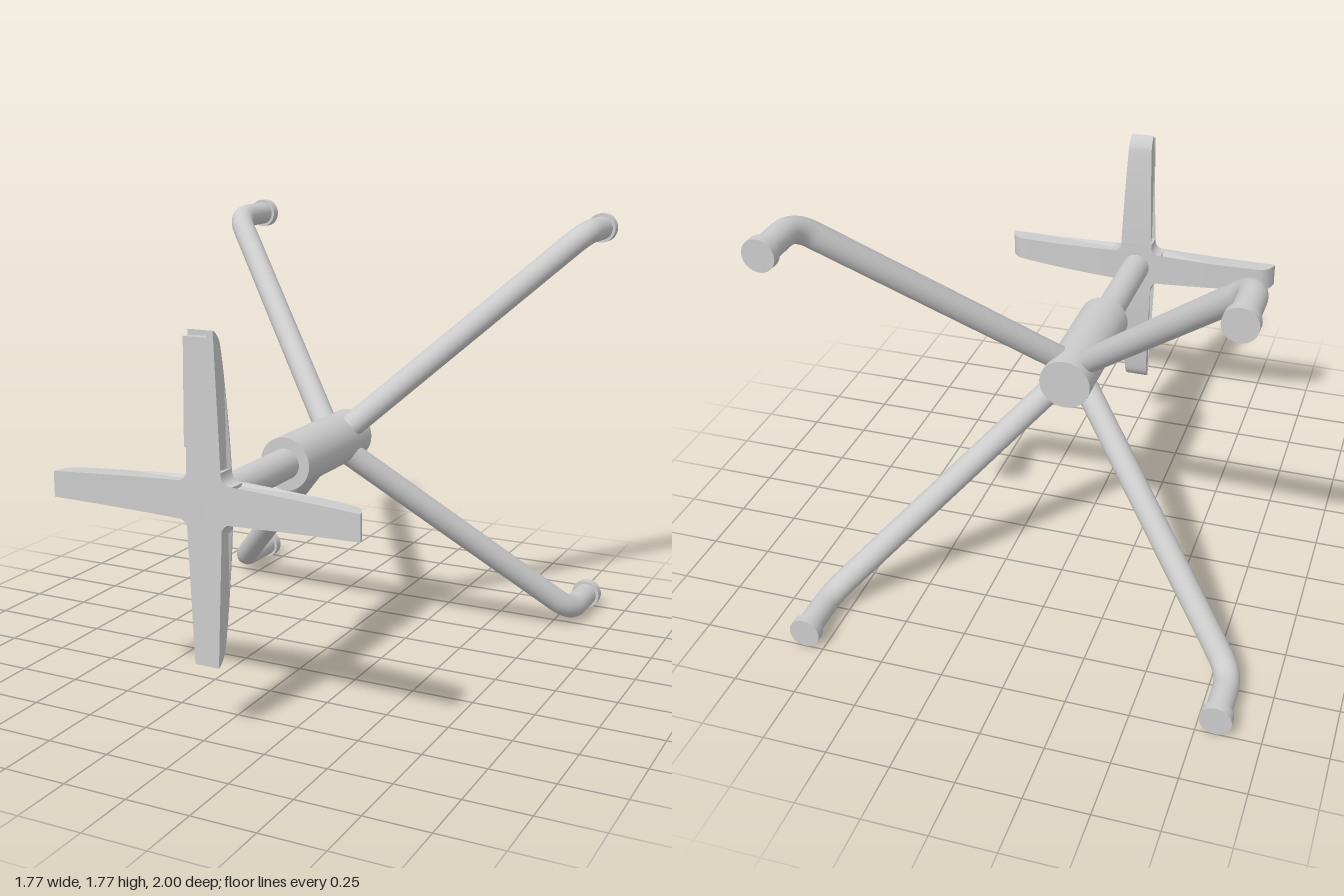
import * as THREE from 'three';
import { toCreasedNormals } from 'three/addons/utils/BufferGeometryUtils.js';

const CY = 0.887; // height of the central axis
const FOOT = 0.825; // sideways and vertical offset of the feet

export function createModel() {
  const model = new THREE.Group();
  const mat = new THREE.MeshStandardMaterial({ color: 0xcccccc });

  const add = (name, geometry, x = 0, y = CY, z = 0) => {
    const mesh = new THREE.Mesh(geometry, mat);
    mesh.name = name;
    mesh.position.set(x, y, z);
    model.add(mesh);
    return mesh;
  };
  // Cylinder along z between two depths
  const rod = (name, r, z0, z1, x, y) =>
    add(name, new THREE.CylinderGeometry(r, r, z1 - z0, 40).rotateX(Math.PI / 2), x, y, (z0 + z1) / 2);

  rod('hub', 0.105, -0.2, 0.365);
  rod('post', 0.061, 0.36, 0.9);

  // Four bent legs, each ending in a round foot
  for (const sx of [1, -1]) for (const sy of [1, -1]) {
    const at = (d, z) => new THREE.Vector3(sx * d, sy * d, z);
    const corner = at(FOOT, -0.74);
    const root = at(0, -0.047);
    const bendIn = corner.clone().add(root.clone().sub(corner).setLength(0.085));
    const bendOut = at(FOOT, -0.825);
    const path = new THREE.CurvePath();
    path.add(new THREE.LineCurve3(root, bendIn));
    path.add(new THREE.QuadraticBezierCurve3(bendIn, corner, bendOut));
    path.add(new THREE.LineCurve3(bendOut, at(FOOT, -0.98)));
    add('leg', new THREE.TubeGeometry(path, 90, 0.05, 28));
    rod('foot', 0.062, -1, -0.96, sx * FOOT, CY + sy * FOOT);
  }

  // Cross bar: side profile extruded, then narrowed towards its tips
  const halfWidth = (t) => 0.075 - 0.042 * Math.abs(t);
  const bar = (back, length, bow) => {
    const pts = [];
    for (let i = -10; i <= 10; i++) {
      const t = (i / 10) * length;
      pts.push(new THREE.Vector2(t, 0.965 + bow * (i / 10) ** 2));
    }
    const right = new THREE.SplineCurve(back.map(([t, z]) => new THREE.Vector2(t, z))).getPoints(24);
    for (const p of right.slice(0, -1).reverse()) pts.push(p);
    for (const p of right.slice(1, -1)) pts.push(new THREE.Vector2(-p.x, p.y));
    const g = new THREE.ExtrudeGeometry(new THREE.Shape(pts), { depth: 2, bevelEnabled: false });
    g.translate(0, 0, -1);
    const pos = g.attributes.position;
    for (let i = 0; i < pos.count; i++) pos.setZ(i, pos.getZ(i) * halfWidth(pos.getX(i)));
    return toCreasedNormals(g.rotateX(Math.PI / 2), 0.5);
  };
  add('horizontalBar', bar(
    [[0, 0.885], [0.2, 0.888], [0.4, 0.9], [0.55, 0.918], [0.59, 0.933], [0.612, 0.965], [0.62, 0.995]], 0.62, 0.03));
  add('verticalBar', bar(
    [[0, 0.885], [0.2, 0.889], [0.4, 0.902], [0.54, 0.918], [0.58, 0.93], [0.604, 0.95], [0.612, 0.965]], 0.612, 0)
    .rotateZ(Math.PI / 2));

  // Rounded inner corners where the bars cross
  const fillet = new THREE.Shape();
  const a = 0.069, b = 0.115;
  [[1, 1], [-1, 1], [-1, -1], [1, -1]].forEach(([x, y], i) => {
    const h = [x * b, y * a], v = [x * a, y * b];
    const [from, to] = i % 2 ? [v, h] : [h, v];
    if (i) fillet.lineTo(...from);
    else fillet.moveTo(...from);
    fillet.quadraticCurveTo(x * a, y * a, ...to);
  });
  const centre = new THREE.ExtrudeGeometry(fillet, { depth: 0.078, bevelEnabled: false, curveSegments: 8 });
  add('crossCentre', toCreasedNormals(centre, 0.5), 0, CY, 0.8865);

  // Undercut pad on the upper arm, wider at its front and lower end
  const wedge = new THREE.Shape([[-0.5, 1], [-0.22, 0.96], [0.22, 0.96], [0.5, 1]]
    .map(([x, z]) => new THREE.Vector2(x, -z)));
  const pad = new THREE.ExtrudeGeometry(wedge, { depth: 0.39, bevelEnabled: false }).rotateX(-Math.PI / 2);
  const p = pad.attributes.position;
  for (let i = 0; i < p.count; i++) p.setX(i, p.getX(i) * (0.108 - 0.03 * p.getY(i)));
  pad.computeVertexNormals();
  add('pad', pad, 0, 1.09, 0);

  return model;
}
